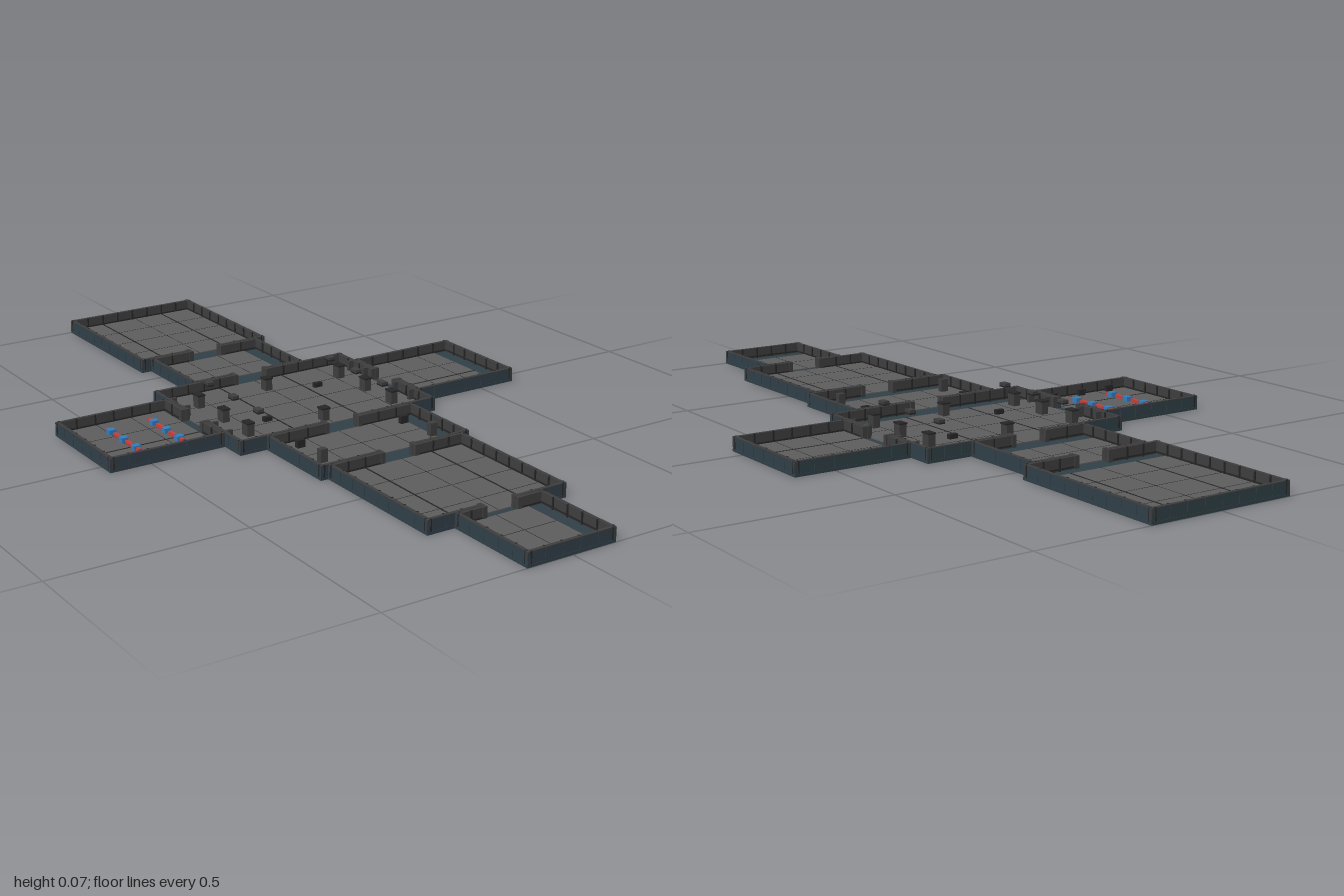
import * as THREE from 'three';

const mat = (name, color) => Object.assign(new THREE.MeshStandardMaterial({ color }), { name });

export function createModel() {
  const hull = mat('hull slate', 0x2f3e46);
  const tile = mat('floor grey', 0x5c5c5c);
  const panel = mat('wall grey', 0x3d3d3d);
  const dark = mat('seam dark', 0x262626);
  const red = mat('strip red', 0xd03a30);
  const blue = mat('pad blue', 0x2a7fc0);

  const model = new THREE.Group();
  model.name = 'deckPlan';

  // Box from its extents on x, y and z
  const box = (parent, name, m, x0, x1, y0, y1, z0, z1) => {
    const mesh = new THREE.Mesh(new THREE.BoxGeometry(x1 - x0, y1 - y0, z1 - z0), m);
    mesh.position.set((x0 + x1) / 2, (y0 + y1) / 2, (z0 + z1) / 2);
    mesh.name = name;
    parent.add(mesh);
    return mesh;
  };
  // Box from its centre, base height and size
  const block = (parent, name, m, x, y, z, w, h, d) =>
    box(parent, name, m, x - w / 2, x + w / 2, y, y + h, z - d / 2, z + d / 2);

  const SLAB = 0.007, FLOOR = 0.010, TOP = 0.037, T = 0.011, PITCH = 0.098;

  // One straight wall piece; inward is the direction (+1 or -1) of the room inside
  function wallPiece(parent, alongX, a, b, edge, inward) {
    const put = (name, m, u0, u1, y0, y1, d0, d1) => {
      const e = [edge + inward * d0, edge + inward * d1].sort((p, q) => p - q);
      if (alongX) box(parent, name, m, u0, u1, y0, y1, e[0], e[1]);
      else box(parent, name, m, e[0], e[1], y0, y1, u0, u1);
    };
    put('wallShell', hull, a, b, SLAB, TOP - 0.002, 0.001, 0.005);
    put('wallPanel', panel, a, b, SLAB, TOP - 0.002, 0.005, T - 0.002);
    put('wallCap', panel, a, b, TOP - 0.002, TOP, 0.001, T - 0.001);
    put('wallRail', dark, a, b, FLOOR, FLOOR + 0.004, T - 0.002, T);
    // Ribs on both faces
    const n = Math.max(1, Math.round((b - a) / (PITCH / 2)));
    for (let i = 0; i <= n; i++) {
      const u = THREE.MathUtils.lerp(a + 0.002, b - 0.002, i / n);
      put('innerRib', dark, u - 0.002, u + 0.002, SLAB, TOP + 0.0005, T - 0.004, T + 0.001);
      put('outerRib', hull, u - 0.0015, u + 0.0015, SLAB, TOP - 0.003, 0, 0.002);
    }
  }

  // A side of a room, split around its doorway
  function wall(parent, alongX, a, b, edge, inward, door) {
    if (!door) return wallPiece(parent, alongX, a, b, edge, inward);
    wallPiece(parent, alongX, a, door[0], edge, inward);
    wallPiece(parent, alongX, door[1], b, edge, inward);
    for (const u of door) { // door posts
      const c = edge + inward * T * 0.6;
      block(parent, 'doorPost', panel, alongX ? u : c, SLAB, alongX ? c : u, 0.012, TOP - SLAB + 0.001, 0.012);
    }
  }

  // Room: extents, tiled extents and doors keyed by side
  function room({ name, x, z, tiles, seamsX = [], seamsZ = [], doors = {} }) {
    const g = new THREE.Group();
    g.name = name;
    model.add(g);
    box(g, 'baseSlab', hull, x[0], x[1], 0, SLAB, z[0], z[1]);
    const [tx0, tx1, tz0, tz1] = tiles;
    box(g, 'floorTiles', tile, tx0, tx1, SLAB, FLOOR, tz0, tz1);
    // Main channels, then fine tile joints
    const seam = (u, along, w) => along
      ? box(g, 'floorSeam', dark, u - w / 2, u + w / 2, FLOOR, FLOOR + 0.0004, tz0, tz1)
      : box(g, 'floorSeam', dark, tx0, tx1, FLOOR, FLOOR + 0.0004, u - w / 2, u + w / 2);
    seamsX.forEach(u => seam(u, true, 0.005));
    seamsZ.forEach(u => seam(u, false, 0.005));
    for (let u = tx0 + PITCH; u < tx1 - 0.02; u += PITCH)
      if (!seamsX.some(s => Math.abs(s - u) < 0.03)) seam(u, true, 0.0012);
    for (let u = tz0 + PITCH; u < tz1 - 0.02; u += PITCH)
      if (!seamsZ.some(s => Math.abs(s - u) < 0.03)) seam(u, false, 0.0012);
    wall(g, true, x[0], x[1], z[0], 1, doors.back);
    wall(g, true, x[0], x[1], z[1], -1, doors.front);
    wall(g, false, z[0], z[1], x[0], 1, doors.right);
    wall(g, false, z[0], z[1], x[1], -1, doors.left);
    return g;
  }

  const D = [-0.05, 0.05], W = [-0.155, -0.05];
  room({ name: 'rearHold', x: [-0.2, 0.195], z: [-1, -0.56], tiles: [-0.19, 0.185, -0.99, -0.605],
    seamsX: [-0.1, 0.095], doors: { front: D } });
  room({ name: 'rearPassage', x: [-0.172, 0.168], z: [-0.56, -0.32], tiles: [-0.162, 0.12, -0.55, -0.37],
    doors: { back: D, front: D } });
  const hall = room({ name: 'mainHall', x: [-0.295, 0.292], z: [-0.32, 0.12], tiles: [-0.285, 0.282, -0.31, 0.07],
    seamsX: [-0.1, 0.095], doors: { back: D, front: D, left: W, right: W } });
  const fore = room({ name: 'forePassage', x: [-0.22, 0.217], z: [0.12, 0.36], tiles: [-0.21, 0.167, 0.13, 0.315],
    doors: { back: D, front: D } });
  room({ name: 'foreHold', x: [-0.2, 0.195], z: [0.36, 0.75], tiles: [-0.19, 0.185, 0.37, 0.74],
    seamsX: [-0.1, 0.095], doors: { back: D, front: D } });
  room({ name: 'noseCabin', x: [-0.125, 0.122], z: [0.75, 1], tiles: [-0.115, 0.075, 0.76, 0.947],
    doors: { back: D } });
  const wing = room({ name: 'rightWing', x: [-0.61, -0.295], z: [-0.25, 0.047], tiles: [-0.6, -0.31, -0.24, 0.037],
    seamsZ: [-0.055], doors: { left: W } });
  room({ name: 'leftWing', x: [0.292, 0.607], z: [-0.25, 0.047], tiles: [0.302, 0.557, -0.24, 0.037],
    seamsZ: [-0.055], doors: { right: W } });

  // Hall consoles with raised plates, mirrored
  for (const s of [-1, 1]) {
    for (const z of [-0.215, -0.09, 0.03]) {
      block(hall, 'consoleBase', panel, s * 0.218, FLOOR, z, 0.02, 0.032, 0.026);
      block(hall, 'consoleTop', dark, s * 0.218, 0.042, z, 0.022, 0.004, 0.03);
      block(hall, 'raisedPlate', dark, s * 0.188, 0.063, z, 0.018, 0.004, 0.024);
      block(hall, 'raisedPlateTop', panel, s * 0.188, 0.067, z, 0.018, 0.007, 0.024);
    }
    // Buttresses beside the wing doors
    for (const z of [-0.21, 0.0])
      for (const dz of [-0.035, 0.035])
        block(hall, 'buttress', panel, s * 0.277, FLOOR, z + dz, 0.018, 0.027, 0.008);
    // Passage lockers
    block(fore, 'locker', dark, s * 0.155, FLOOR, 0.17, 0.022, 0.02, 0.012);
    block(fore, 'crate', panel, s * 0.163, FLOOR, 0.28, 0.02, 0.034, 0.016);
  }
  // Free-standing hall furniture
  for (const [x, z, w, d] of [[0, -0.235, 0.02, 0.024], [0, 0.04, 0.02, 0.024]]) {
    block(hall, 'pedestal', panel, x, FLOOR, z, w, 0.03, d);
    block(hall, 'pedestalTop', dark, x, 0.04, z, w + 0.006, 0.004, d);
  }
  for (const [x, z] of [[0.125, -0.18], [-0.125, -0.03]])
    block(hall, 'lowBench', dark, x, FLOOR, z, 0.024, 0.012, 0.012);

  // Wing racks: red strips with blue pads
  for (const x of [-0.498, -0.378]) {
    for (const z of [-0.172, -0.132, -0.068, -0.028])
      block(wing, 'redStrip', red, x, FLOOR, z, 0.009, 0.009, 0.03);
    for (const z of [-0.165, -0.1, -0.035])
      block(wing, 'bluePad', blue, x, FLOOR, z, 0.019, 0.012, 0.018);
  }
  for (const x of [-0.535, -0.44, -0.345])
    block(wing, 'wingLocker', dark, x, FLOOR, 0.024, 0.022, 0.016, 0.01);
  block(wing, 'wingCrate', dark, -0.588, FLOOR, -0.22, 0.014, 0.016, 0.014);

  return model;
}
